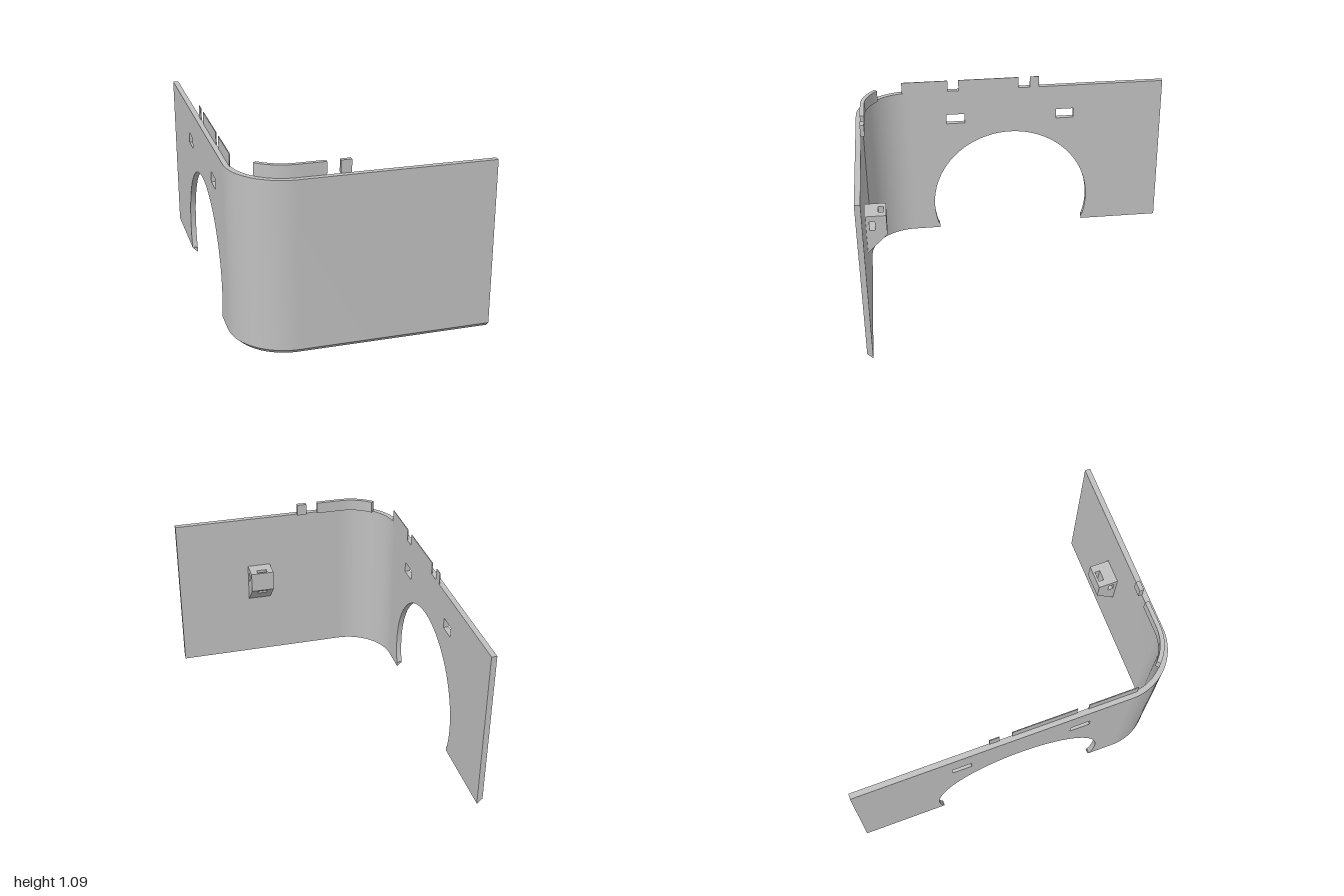
import * as THREE from 'three';
import { toCreasedNormals } from 'three/addons/utils/BufferGeometryUtils.js';

const H = 1.017, T = 0.033, CH = 0.03;        // wall height, thickness, bottom chamfer
const X0 = -0.72, X1 = 0.72, R = 0.33;        // outer side plane, front end, corner radius
const CX = X0 + R, CZ = 1 - R;                // corner centre

// Plan stations on the outer face: [x, z, outward nx, outward nz]
const onFront = (x) => [x, 1, 0, 1];
const onSide = (z) => [X0, z, -1, 0];
const onCorner = (maxAngle, n) => Array.from({ length: n + 1 }, (_, i) => {
  const a = (maxAngle * i) / n, s = Math.sin(a), c = Math.cos(a);
  return [CX - R * s, CZ + R * c, -s, c];
});

// Sweep a convex profile of [inward offset, y] along plan stations, with end caps
function sweep(path, profile) {
  const pos = [], m = profile.length;
  const at = (i, j) => {
    const [x, z, nx, nz] = path[i], [d, y] = profile[j % m];
    return [x - nx * d, y, z - nz * d];
  };
  const tri = (a, b, c) => pos.push(...a, ...b, ...c);
  for (let i = 0; i < path.length - 1; i++) {
    for (let j = 0; j < m; j++) {
      tri(at(i, j), at(i, j + 1), at(i + 1, j + 1));
      tri(at(i, j), at(i + 1, j + 1), at(i + 1, j));
    }
  }
  const e = path.length - 1;
  for (let j = 1; j < m - 1; j++) {
    tri(at(0, 0), at(0, j + 1), at(0, j));
    tri(at(e, 0), at(e, j), at(e, j + 1));
  }
  const g = new THREE.BufferGeometry();
  g.setAttribute('position', new THREE.Float32BufferAttribute(pos, 3));
  return toCreasedNormals(g, 0.5);
}

// Extrude a (z, y) shape along x between xa and xb
function extrudeX(shape, xa, xb) {
  const g = new THREE.ExtrudeGeometry(shape, { depth: xb - xa, bevelEnabled: false, curveSegments: 64 });
  g.rotateY(-Math.PI / 2);
  g.translate(xb, 0, 0);
  return toCreasedNormals(g, 0.5);
}

const polygon = (points) => new THREE.Shape(points.map(([z, y]) => new THREE.Vector2(z, y)));
const rectHole = (z0, z1, y0, y1) =>
  new THREE.Path([[z0, y0], [z1, y0], [z1, y1], [z0, y1]].map((p) => new THREE.Vector2(...p)));

export function createModel() {
  const model = new THREE.Group();
  model.name = 'cornerPanel';
  const grey = new THREE.MeshStandardMaterial({ color: 0xc0c0c0 });
  grey.name = 'light grey';
  const add = (name, geometry) => {
    const mesh = new THREE.Mesh(geometry, grey);
    mesh.name = name;
    model.add(mesh);
    return mesh;
  };

  // Front wall with rounded corner and chamfered foot
  add('frontWall', sweep(
    [onFront(X1), ...onCorner(Math.PI / 2, 24)],
    [[0, CH], [0, H], [T, H], [T, 0], [CH, 0]]));

  // Side wall with round arch and two slots
  const cz = 0.01, cy = 0.185, r = 0.52;
  const dip = Math.asin((cy - CH) / r);
  const side = new THREE.Shape();
  side.moveTo(-1, CH);
  side.lineTo(-1, H);
  side.lineTo(CZ, H);
  side.lineTo(CZ, CH);
  side.lineTo(cz + r * Math.cos(dip), CH);
  side.absarc(cz, cy, r, -dip, Math.PI + dip, false);
  side.closePath();
  side.holes.push(rectHole(0.31, 0.43, 0.785, 0.85), rectHole(-0.41, -0.295, 0.785, 0.85));
  add('sideWall', extrudeX(side, X0, X0 + T));

  // Chamfered feet of the side wall on either side of the arch
  for (const [za, zb] of [[CZ, 0.501], [-0.481, -1]]) {
    add('sideFoot', sweep([onSide(za), onSide(zb)], [[0, CH], [T, CH], [T, 0], [CH, 0]]));
  }

  // Tabs standing on the inner edge of the front wall
  const tabProfile = [[0.03, H], [0.03, 1.09], [0.055, 1.09], [0.055, H]];
  add('cornerTab', sweep([onFront(-0.23), ...onCorner(Math.PI / 4, 14)], tabProfile));
  add('frontTab', sweep([onFront(-0.095), onFront(-0.155)], tabProfile));

  // Thin tabs along the side wall
  for (const [za, zb] of [[0.71, 0.415], [0.345, -0.045], [-0.12, -0.18]]) {
    const tab = add('sideTab', new THREE.BoxGeometry(0.005, 1.09 - H, za - zb));
    tab.position.set(X0 + T - 0.0025, (1.09 + H) / 2, (za + zb) / 2);
  }

  // Bracket: sloped block with a cross hole and a vertical hole
  const back = 0.845, wall = 1 - T, top = 0.668;
  const slope = (z) => 0.54 - (z - back);
  const slice = (z0, z1) => polygon([[z0, slope(z0)], [z1, slope(z1)], [z1, top], [z0, top]]);
  const bracket = (z0, z1, xa, xb) => {
    const shape = slice(z0, z1);
    if (z1 === wall) shape.holes.push(rectHole(0.914, 0.947, 0.573, 0.632));
    add('bracket', extrudeX(shape, xa, xb));
  };
  bracket(back, wall, 0.1, 0.14);
  bracket(back, wall, 0.205, 0.25);
  bracket(back, 0.859, 0.14, 0.205);
  bracket(0.891, wall, 0.14, 0.205);

  return model;
}
